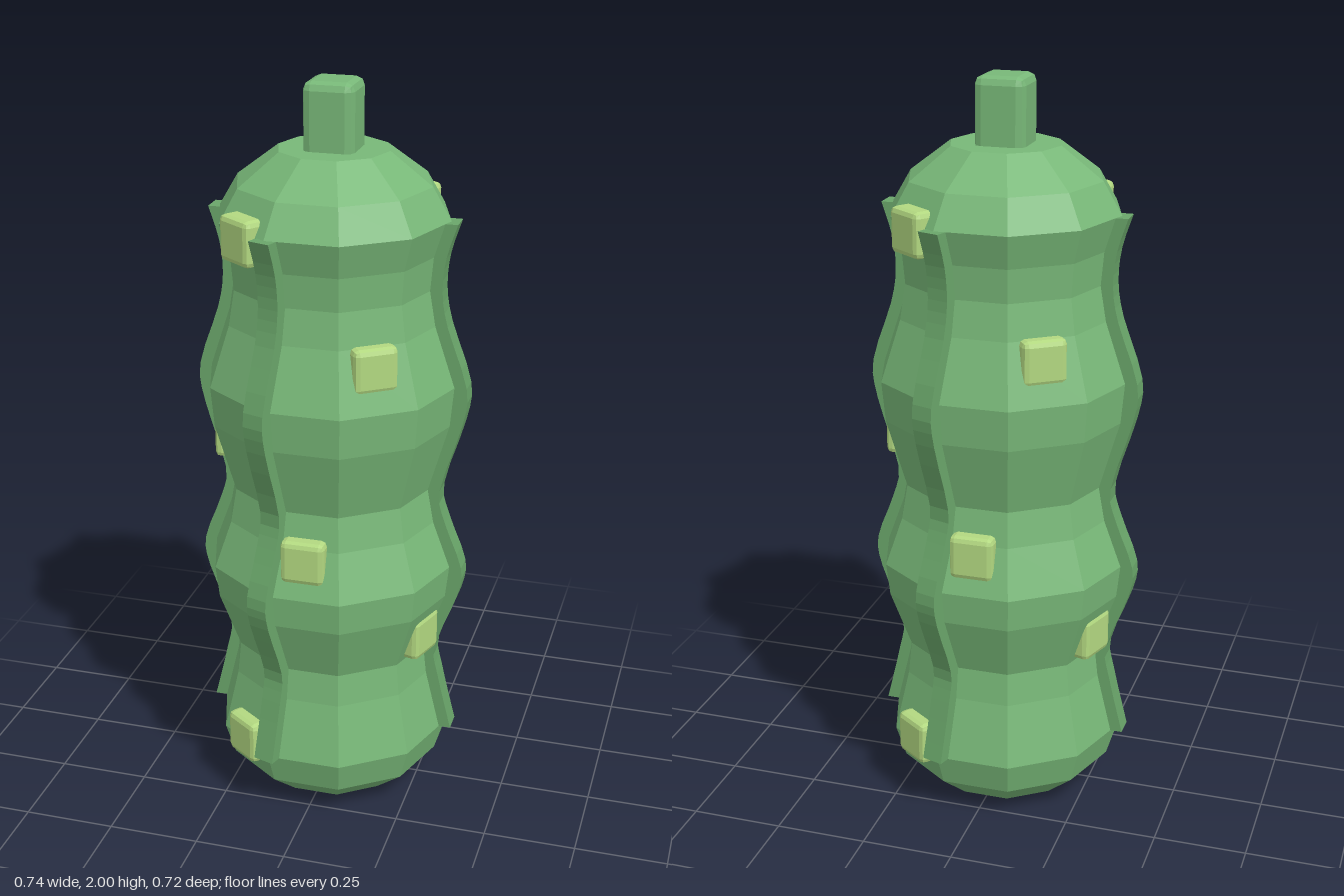
import * as THREE from 'three';
import { RoundedBoxGeometry } from 'three/addons/geometries/RoundedBoxGeometry.js';

const paint = (color) => new THREE.MeshStandardMaterial({ color, flatShading: true });

// Wavy side of the body, as [radius, height]
const WAVE = [
  [0.328, 0.18], [0.287, 0.35], [0.277, 0.44], [0.335, 0.6], [0.345, 0.69], [0.297, 0.82],
  [0.28, 0.915], [0.335, 1.105], [0.345, 1.215], [0.29, 1.38], [0.274, 1.475], [0.282, 1.565], [0.31, 1.655],
];

export function createModel() {
  const model = new THREE.Group();
  model.name = 'segmentedBody';
  const green = paint(0x78b878);
  const darkGreen = paint(0x6aa66a);
  const lime = paint(0xb2d880);

  const add = (name, geometry, material, angle = 0) => {
    const mesh = new THREE.Mesh(geometry, material);
    mesh.name = name;
    mesh.rotation.y = -angle;
    model.add(mesh);
    return mesh;
  };

  // Ten-sided body with a tapered foot and a domed shoulder
  const profile = [
    [0, 0], [0.2, 0.005], [0.3, 0.09], ...WAVE, [0.26, 1.74], [0.148, 1.825], [0, 1.825],
  ].map(([r, y]) => new THREE.Vector2(r, y));
  add('body', new THREE.LatheGeometry(profile, 10, Math.PI / 2), green);

  // Stem on top
  const stem = add('stem', new RoundedBoxGeometry(0.135, 0.2, 0.135, 1, 0.022), green);
  stem.position.y = 1.9;

  // Ribs that follow the wave from foot to shoulder
  const curve = new THREE.SplineCurve(WAVE.map(([r, y]) => new THREE.Vector2(r, y))).getPoints(36);
  const outline = [
    ...curve.map((p) => new THREE.Vector2(p.x + 0.023, p.y)),
    ...curve.map((p) => new THREE.Vector2(p.x - 0.03, p.y)).reverse(),
  ];
  const ribGeometry = new THREE.ExtrudeGeometry(new THREE.Shape(outline), { depth: 0.06, bevelEnabled: false });
  ribGeometry.translate(0, 0, -0.03);
  for (const degrees of [0, 108, 180, 288]) {
    add('rib', ribGeometry, darkGreen, THREE.MathUtils.degToRad(degrees));
  }

  // Raised studs in opposite pairs: height, angle, outer distance
  const studGeometry = new RoundedBoxGeometry(0.09, 0.12, 0.12, 1, 0.015);
  const studs = [
    [0.2, 126, 0.333], [0.51, 18, 0.31], [0.79, 90, 0.317],
    [1.055, 162, 0.32], [1.325, 54, 0.313], [1.635, 126, 0.322],
  ];
  for (const [y, degrees, reach] of studs) {
    for (const turn of [0, 180]) {
      const angle = THREE.MathUtils.degToRad(degrees + turn);
      const stud = add('stud', studGeometry, lime, angle);
      const r = reach - 0.045;
      stud.position.set(r * Math.cos(angle), y, r * Math.sin(angle));
    }
  }
  return model;
}
